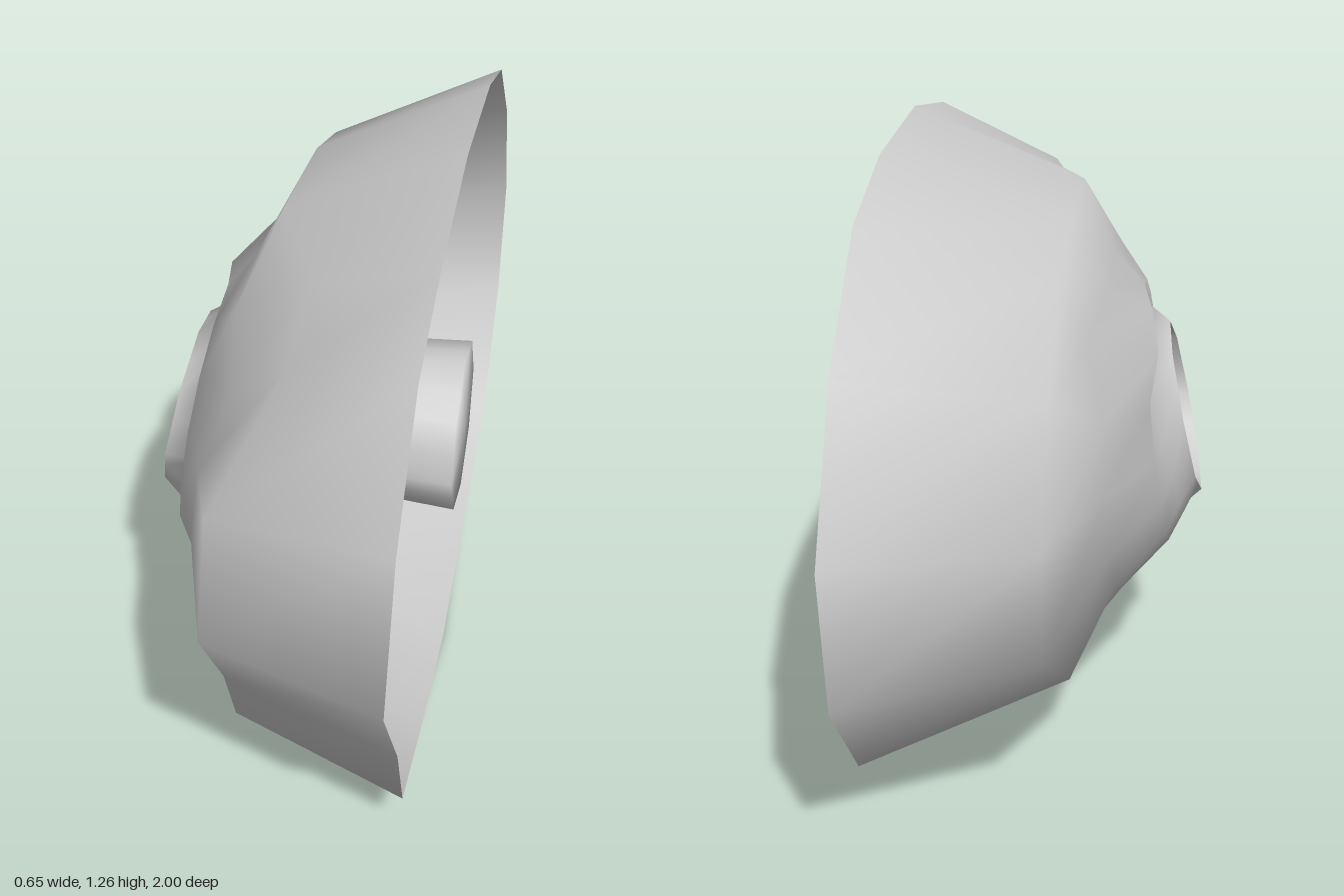
import * as THREE from 'three';

const N = 16;

// Outline of the wide mouth as [z, y], clockwise from the top
const MOUTH = [
  [0.07, 1.26], [-0.33, 1.23], [-0.6, 1.15], [-0.84, 0.94],
  [-1, 0.65], [-0.95, 0.36], [-0.73, 0.13], [-0.35, 0.06],
  [0.05, 0], [0.4, 0.06], [0.7, 0.14], [0.8, 0.36],
  [1, 0.65], [0.91, 0.93], [0.7, 1.14], [0.45, 1.21],
];

// Oval ring; xOf gives the depth from the height above the ring's centre and z
function oval(cz, cy, rz, ry, xOf, turn = 0) {
  return MOUTH.map((_, i) => {
    const a = (i / N) * Math.PI * 2 + turn;
    const z = cz - rz * Math.sin(a), dy = ry * Math.cos(a);
    return [xOf(dy, z), cy + dy, z];
  });
}

// Slightly turned eight-sided ring with a midpoint on every side
function octagon(cz, cy, r, xOf) {
  const ring = oval(cz, cy, r, r, xOf, -0.16);
  for (let i = 1; i < N; i += 2) {
    const a = ring[i - 1], b = ring[(i + 1) % N];
    ring[i] = a.map((v, k) => (v + b[k]) / 2);
  }
  return ring;
}

// Skin over successive rings, with an optional fan closing the last one
function loft(name, rings, material, capPoint) {
  const pos = rings.flat(2), index = [];
  for (let r = 0; r < rings.length - 1; r++) {
    for (let i = 0; i < N; i++) {
      const j = (i + 1) % N;
      const a = r * N + i, b = r * N + j, c = a + N, d = b + N;
      index.push(a, c, b, b, c, d);
    }
  }
  if (capPoint) {
    const c = pos.length / 3, s = (rings.length - 1) * N;
    pos.push(...capPoint);
    for (let i = 0; i < N; i++) index.push(s + i, c, s + ((i + 1) % N));
  }
  const geo = new THREE.BufferGeometry();
  geo.setAttribute('position', new THREE.Float32BufferAttribute(pos, 3));
  geo.setIndex(index);
  geo.computeVertexNormals();
  const mesh = new THREE.Mesh(geo, material);
  mesh.name = name;
  return mesh;
}

export function createModel() {
  const group = new THREE.Group();
  group.name = 'bowl';
  const material = new THREE.MeshStandardMaterial({ color: 0xcccccc, side: THREE.DoubleSide });

  // Mouth edge and the bend behind it
  const mouth = MOUTH.map(([z, y]) => [0.304 - 0.02 * z, y, z]);
  const bend = MOUTH.map(([z, y]) => [-0.06 - 0.022 * z, 0.085 + 0.813 * y, 0.815 * z + 0.01]);
  // Uneven underside and pressed-in upper corner
  bend[6] = [-0.06, 0.14, -0.37];
  bend[7] = [-0.06, 0.086, -0.08];
  bend[8] = [-0.065, 0.09, 0.12];
  bend[14] = [0.035, 1.055, 0.58];
  bend[15] = [0.04, 1.1, 0.33];

  // Shoulder with shallow dents, then the neck
  const shoulder = oval(0, 0.61, 0.53, 0.36, (dy, z) => -0.15 + 0.055 * dy - 0.03 * z);
  shoulder[2][0] = -0.09;
  shoulder[10][0] = -0.135;
  shoulder[11][0] = -0.15;
  shoulder[14][0] = -0.11;
  const neck = oval(0.02, 0.61, 0.34, 0.28, (dy) => -0.228 + 0.12 * dy);
  neck[1][0] = -0.215;
  neck[2][0] = -0.23;
  // Groove around the opening, fading out towards the bottom
  const groove = oval(0.04, 0.61, 0.24, 0.235, (dy, z) => -0.228 + 0.27 * dy + 0.06 * z);
  groove[0][0] = -0.2;
  const opening = octagon(0.04, 0.61, 0.188, (dy) => -0.29 + 0.21 * dy);

  group.add(loft('shell', [mouth, bend, shoulder, neck, groove, opening], material));

  // Hollow post, open at the back and closed at the mouth end
  const waist = octagon(0.045, 0.61, 0.168, () => 0.08);
  const end = octagon(0.05, 0.607, 0.183, (dy, z) => 0.322 - 0.02 * z);
  group.add(loft('post', [opening, waist, end], material, [0.326, 0.607, 0.05]));
  return group;
}
